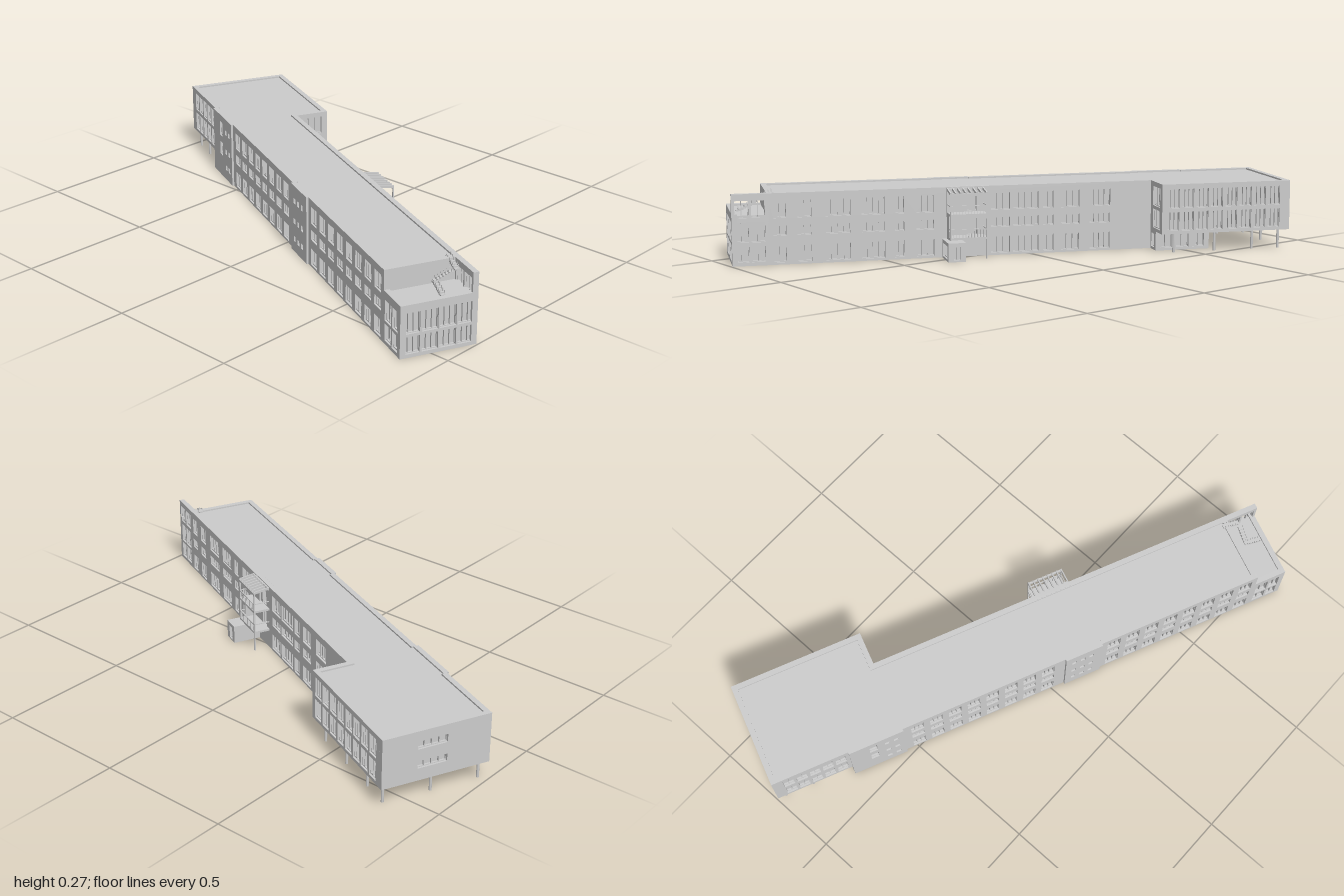
import * as THREE from 'three';

const T = 0.02; // wall thickness
const H = 0.258; // parapet height
const W = -0.193, E = 0.08, WING = 0.209; // west face, east face, wing east face
const N = -1.01, JOIN = -0.505, G = -0.716, S = 0.926, END = 1.052; // stations along the length
const mat = new THREE.MeshStandardMaterial({ color: 0xcccccc, side: THREE.DoubleSide });

function box(parent, name, x0, x1, y0, y1, z0, z1) {
  const m = new THREE.Mesh(new THREE.BoxGeometry(x1 - x0, y1 - y0, z1 - z0), mat);
  m.position.set((x0 + x1) / 2, (y0 + y1) / 2, (z0 + z1) / 2);
  m.name = name;
  parent.add(m);
  return m;
}

function rect(Type, x0, y0, x1, y1) {
  return new Type([[x0, y0], [x1, y0], [x1, y1], [x0, y1]].map(p => new THREE.Vector2(...p)));
}

// Wall from one plan point to another, outside on its local +z side.
// Each window is [s0, s1, y0, y1, panes, open], s measured from the start.
function wall(parent, name, from, to, y0, y1, windows = []) {
  const dx = to[0] - from[0], dz = to[1] - from[1], len = Math.hypot(dx, dz);
  const g = new THREE.Group();
  g.name = name;
  g.position.set(from[0], 0, from[1]);
  g.rotation.y = Math.atan2(-dz, dx);
  const shape = rect(THREE.Shape, 0, y0, len, y1);
  for (const [a, b, c, d] of windows) shape.holes.push(rect(THREE.Path, a, c, b, d));
  const geo = new THREE.ExtrudeGeometry(shape, { depth: T, bevelEnabled: false });
  geo.translate(0, 0, -T);
  const panel = new THREE.Mesh(geo, mat);
  panel.name = name + 'Panel';
  g.add(panel);
  for (const [a, b, c, d, panes = 1, open] of windows) {
    if (!open) box(g, 'windowPane', a, b, c, d, -0.017, -0.014);
    for (let i = 0; i <= panes; i++) {
      const s = a + (b - a) * i / panes;
      box(g, 'mullion', Math.max(a, s - 0.0015), Math.min(b, s + 0.0015), c, d, -0.014, -0.007);
    }
    box(g, 'windowRail', a, b, c, c + 0.003, -0.014, -0.007);
    box(g, 'windowRail', a, b, d - 0.003, d, -0.014, -0.007);
  }
  parent.add(g);
}

// Equal windows in a strip, repeated for every row [y0, y1]
function strip(s0, s1, count, gap, rows, panes) {
  const step = (s1 - s0 + gap) / count, out = [];
  for (const [c, d] of rows)
    for (let i = 0; i < count; i++) out.push([s0 + i * step, s0 + (i + 1) * step - gap, c, d, panes]);
  return out;
}

// Flat slab from a plan outline
function slab(parent, name, pts, y0, y1) {
  const geo = new THREE.ExtrudeGeometry(new THREE.Shape(pts.map(([x, z]) => new THREE.Vector2(x, -z))),
    { depth: y1 - y0, bevelEnabled: false });
  geo.rotateX(-Math.PI / 2);
  geo.translate(0, y0, 0);
  const m = new THREE.Mesh(geo, mat);
  m.name = name;
  parent.add(m);
}

export function createModel() {
  const root = new THREE.Group();
  root.name = 'building';
  const b = new THREE.Group();
  b.name = 'rotatedBlock';
  b.rotation.y = -0.415;
  root.add(b);

  const top = [0.168, 0.232], mid = [0.105, 0.142], low = [0.008, 0.07];
  const wingRows = [[0.084, 0.155], [0.168, 0.24]];
  const endRows = [[0.013, 0.074], [0.084, 0.158]];

  // Slabs: ground plate, first floor soffit, roofs
  slab(b, 'groundSlab', [[W, END], [E, END], [E, JOIN], [0.14, JOIN], [0.14, G], [W, G]], 0, 0.006);
  slab(b, 'firstFloor', [[W, END - 0.01], [E, END - 0.01], [E, JOIN], [WING, JOIN], [WING, N], [W, N]].map(
    ([x, z]) => [x === W ? x + 0.001 : x - 0.001, z]), 0.072, 0.08);
  slab(b, 'mainRoof', [[W + 0.01, S - 0.01], [E - 0.01, S - 0.01], [E - 0.01, JOIN - 0.01],
    [WING - 0.01, JOIN - 0.01], [WING - 0.01, N + 0.01], [W + 0.01, N + 0.01]], 0.246, 0.252);
  slab(b, 'terrace', [[W + 0.01, END - 0.01], [E - 0.01, END - 0.01], [E - 0.01, S - 0.01], [W + 0.01, S - 0.01]], 0.174, 0.18);

  // East facade: irregular groups of windows on three floors
  const groups = [[0.905, 0.86, 2], [0.82, 0.77, 2], [0.72, 0.63, 4], [0.59, 0.505, 4], [0.47, 0.435, 2],
    [0.39, 0.325, 3], [0.113, 0.04, 3], [0.03, -0.07, 4], [-0.085, -0.125, 2], [-0.155, -0.225, 3], [-0.265, -0.345, 4]];
  const east = [];
  for (const [c, d] of [top, mid, low])
    for (const [v0, v1, n] of groups) east.push([S - v0, S - v1, c, d, n]);
  east.push([S - 0.2, S - 0.165, 0.168, 0.225, 1], [S - 0.2, S - 0.165, 0.08, 0.14, 1]);
  wall(b, 'eastWall', [E, S], [E, JOIN - T], 0, H, east);

  // West facade: two glazed runs, two slightly projecting bays with small windows
  wall(b, 'westWallNorth', [W, N], [W, G], 0.072, H, strip(0.04, 0.28, 5, 0.01, wingRows, 2));
  const bay = W - 0.008;
  const northBay = [[0.075, 0.105, 0.17, 0.23, 1], [0.075, 0.105, 0.09, 0.145, 1]];
  const southBay = [];
  for (const y of [0.04, 0.11, 0.19]) {
    for (const s of [0.135, 0.17]) northBay.push([s, s + 0.018, y, y + 0.02, 1]);
    for (const s of [0.025, 0.06, 0.095]) southBay.push([s, s + 0.018, y, y + 0.02, 1]);
  }
  wall(b, 'westBayNorth', [bay, G], [bay, JOIN], 0, H, northBay);
  wall(b, 'westWallMiddle', [W, JOIN], [W, 0.139], 0, H, strip(0.03, 0.6, 8, 0.025, [top, mid, low], 3));
  wall(b, 'westBaySouth', [bay, 0.139], [bay, 0.286], 0, H, southBay);
  wall(b, 'westWallSouth', [W, 0.286], [W, S], 0, H, strip(0.025, 0.62, 8, 0.025, [top, mid, low], 3));

  // North wing on the upper floors
  const slots = [[0.13, 0.24, 0.19, 0.22, 4], [0.13, 0.24, 0.118, 0.146, 4]];
  wall(b, 'northWall', [WING, N], [W, N], 0.072, H, slots);
  wall(b, 'wingEastWall', [WING, JOIN], [WING, N], 0.072, H, strip(0.02, 0.465, 8, 0.01, wingRows, 3));
  wall(b, 'wingSouthWall', [E - T, JOIN], [WING, JOIN], 0.072, H, strip(0.045, 0.125, 1, 0, wingRows, 3));

  // Recessed ground floor below the wing
  wall(b, 'undercroftSouth', [E - T, JOIN], [0.14, JOIN], 0, 0.075, [[0.03, 0.07, 0.01, 0.062, 2]]);
  wall(b, 'undercroftEast', [0.14, JOIN], [0.14, G], 0, 0.075, strip(0.015, 0.195, 3, 0.015, [[0.01, 0.062]], 2));
  wall(b, 'undercroftNorth', [0.14, G], [W, G], 0, 0.075, [[0.12, 0.155, 0.006, 0.06, 1]]);
  for (const [x, z] of [[0.185, -0.975], [0.185, -0.87], [0.185, -0.72], [0.185, -0.56],
    [0.01, -0.98], [-0.17, -0.98], [-0.17, -0.87]]) {
    const c = new THREE.Mesh(new THREE.CylinderGeometry(0.005, 0.005, 0.074, 12), mat);
    c.position.set(x, 0.037, z);
    c.name = 'column';
    b.add(c);
  }

  // Low south end with terrace, and a full-height open screen on its east side
  wall(b, 'mainSouthWall', [W, S], [E, S], 0.17, H);
  wall(b, 'southEndWall', [W, END], [E, END], 0, 0.187, strip(0.012, 0.262, 4, 0.006, endRows, 3));
  wall(b, 'southEndWest', [W, S - T], [W, END], 0, 0.187, strip(0.03, 0.135, 2, 0.008, endRows, 2));
  const screen = strip(0.01, 0.118, 2, 0.008, endRows, 2);
  screen.push([0.01, 0.06, 0.172, 0.236, 2, true], [0.068, 0.118, 0.172, 0.236, 2, true]);
  wall(b, 'southEastScreen', [E, END], [E, S - T], 0, H, screen);

  // Outdoor stair from the terrace to the roof, in three short flights
  const flights = [[-0.033, 1.02, 0, -1], [-0.03, 0.965, 1, 0], [0.045, 0.96, 0, -1]];
  flights.forEach(([x, z, dx, dz], f) => {
    for (let i = 0; i < 6; i++) {
      const px = x + dx * i * 0.0105, pz = z + dz * i * 0.0105, y = 0.187 + (f * 6 + i) * 0.0042;
      box(b, 'stairTread', px - 0.008, px + 0.008, y - 0.005, y, pz - 0.008, pz + 0.008);
      for (const e of [-0.008, 0.008]) {
        const qx = px + dz * e, qz = pz + dx * e;
        box(b, 'stairBaluster', qx - 0.001, qx + 0.001, y, y + 0.012, qz - 0.001, qz + 0.001);
      }
    }
  });

  // East stair tower: decks, side walls, railings and a slatted canopy
  const tower = new THREE.Group();
  tower.name = 'stairTower';
  b.add(tower);
  const X = 0.143, Z0 = 0.14, Z1 = 0.278;
  for (const y of [0.072, 0.158]) {
    box(tower, 'deck', E, X, y, y + 0.008, Z0, Z1);
    box(tower, 'railTop', X - 0.004, X, y + 0.036, y + 0.039, Z0, Z1);
    for (let i = 0; i <= 12; i++) {
      const z = Z0 + 0.002 + i * (Z1 - Z0 - 0.004) / 12;
      box(tower, 'railBaluster', X - 0.003, X - 0.001, y + 0.008, y + 0.036, z - 0.001, z + 0.001);
    }
    for (const z of [Z0, Z1 - 0.003]) box(tower, 'sideRail', E, X, y + 0.036, y + 0.039, z, z + 0.003);
  }
  box(tower, 'sideWall', E, X - 0.02, 0, 0.16, Z1 - 0.008, Z1);
  box(tower, 'backPanel', E, E + 0.006, 0.166, 0.25, 0.215, Z1);
  for (const z of [Z0, Z1 - 0.005])
    box(tower, 'post', X - 0.005, X, z === Z0 ? 0 : 0.07, 0.237, z, z + 0.005);
  for (let i = 0; i < 8; i++) {
    const z = Z0 + i * (Z1 - Z0 - 0.005) / 7;
    const r = box(tower, 'canopyRafter', 0.06, X, 0.243, 0.252, z, z + 0.005);
    r.rotation.z = -0.16;
  }
  box(tower, 'canopyBeam', X - 0.006, X, 0.232, 0.242, Z0, Z1);
  box(tower, 'canopyBeam', E, E + 0.006, 0.243, 0.254, Z0, Z1);

  // Entrance porch at the foot of the tower
  const P0 = 0.23, P1 = 0.295, PX = 0.188;
  box(tower, 'porchRoof', E, PX, 0.062, 0.069, P0, P1);
  box(tower, 'porchFloor', E, PX, 0, 0.005, P0, P1);
  wall(tower, 'porchSouth', [E, P1], [PX, P1], 0, 0.062, [[0.012, 0.096, 0.008, 0.056, 3]]);
  wall(tower, 'porchNorth', [PX, P0], [E, P0], 0, 0.062);
  wall(tower, 'porchFront', [PX, P1], [PX, P0], 0, 0.062, [[0.01, 0.055, 0.005, 0.056, 2]]);
  return root;
}
